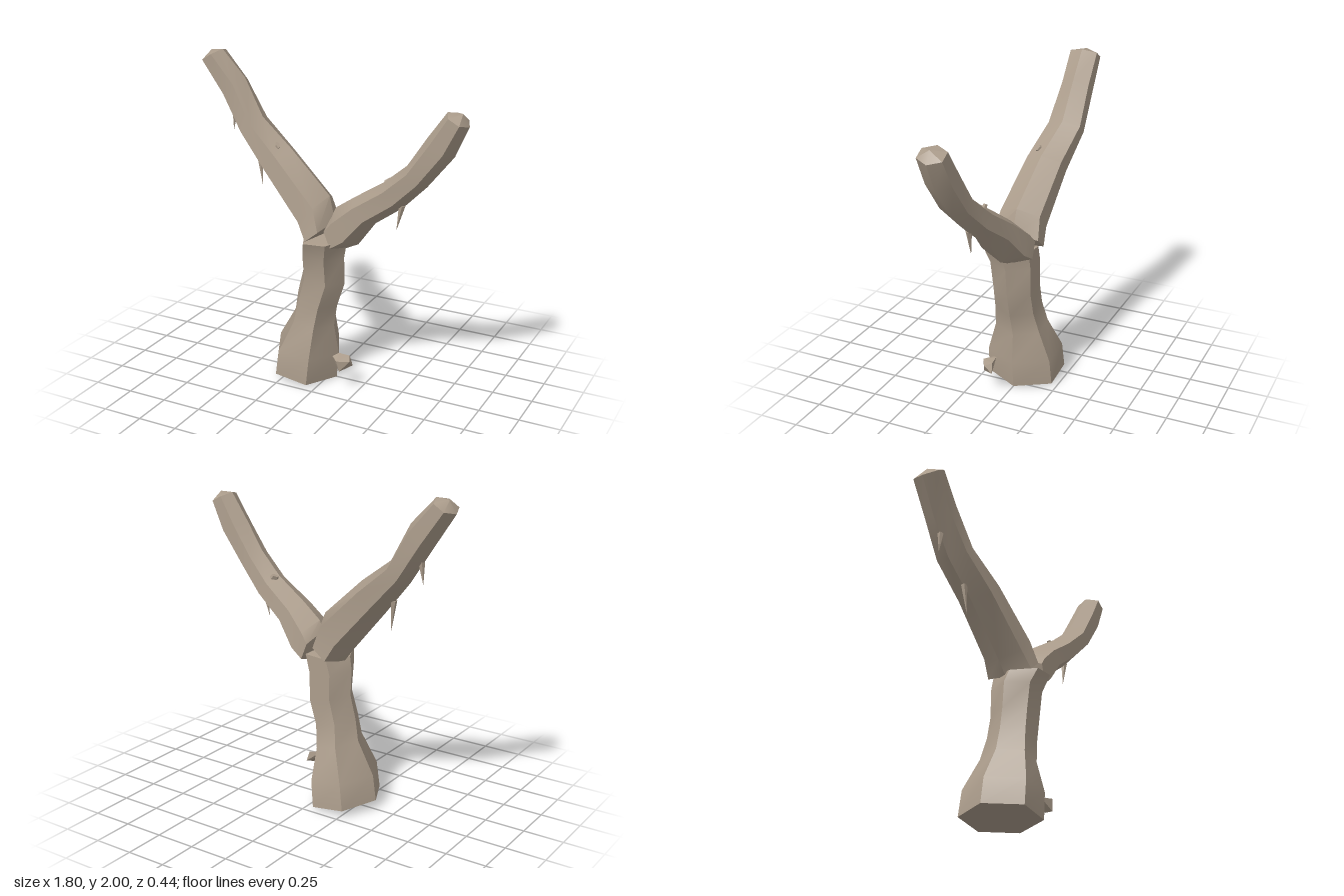
import * as THREE from 'three';
import { toCreasedNormals } from 'three/addons/utils/BufferGeometryUtils.js';
import { ConvexGeometry } from 'three/addons/geometries/ConvexGeometry.js';

const SIDES = 6;

// Hexagonal limb. Each section is [x1, y1, x2, y2, z, halfDepth]: its left and
// right corners as seen along the direction of growth, then centre and size in z.
// The two end points close the limb with shallow fans.
function limb(sections, startPoint, endPoint) {
  const pos = [];
  const index = [];
  for (const [x1, y1, x2, y2, z, depth] of sections) {
    for (let j = 0; j < SIDES; j++) {
      const a = (j / SIDES) * Math.PI * 2;
      const c = Math.cos(a) / 2;
      pos.push(
        (x1 + x2) / 2 + (x2 - x1) * c,
        (y1 + y2) / 2 + (y2 - y1) * c,
        z + (Math.sin(a) * depth) / Math.sin(Math.PI / 3)
      );
    }
  }
  const last = (sections.length - 1) * SIDES;
  const start = last + SIDES;
  const end = start + 1;
  pos.push(...startPoint, ...endPoint);
  for (let j = 0; j < SIDES; j++) {
    const k = (j + 1) % SIDES;
    for (let r = 0; r < last; r += SIDES) {
      index.push(r + j, r + SIDES + j, r + k, r + k, r + SIDES + j, r + SIDES + k);
    }
    index.push(start, j, k, end, last + k, last + j);
  }
  const geo = new THREE.BufferGeometry();
  geo.setAttribute('position', new THREE.Float32BufferAttribute(pos, 3));
  geo.setIndex(index);
  return toCreasedNormals(geo, 0.5);
}

export function createModel() {
  const group = new THREE.Group();
  const bark = new THREE.MeshStandardMaterial({ color: 0xac9d8c });
  bark.name = 'bark';

  const add = (name, geometry) => {
    const mesh = new THREE.Mesh(geometry, bark);
    mesh.name = name;
    group.add(mesh);
    return mesh;
  };

  // Trunk with a wide, slanted foot and a flared top
  add('trunk', limb([
    [-0.375, 0.06, 0.05, 0.0, 0, 0.218],
    [-0.35, 0.22, 0.065, 0.17, 0.003, 0.212],
    [-0.235, 0.42, 0.035, 0.36, 0.01, 0.15],
    [-0.21, 0.55, 0.06, 0.5, 0.02, 0.13],
    [-0.175, 0.7, 0.11, 0.66, 0.015, 0.125],
    [-0.175, 0.86, 0.11, 0.83, 0.025, 0.135],
    [-0.15, 0.94, 0.14, 0.96, 0.045, 0.155],
  ], [-0.16, 0.03, 0], [0, 0.96, 0.03]));

  // Right branch, the longer one, leaning back
  add('rightBranch', limb([
    [-0.13, 0.91, 0.04, 1.05, 0.01, 0.15],
    [-0.2, 1.0, 0.0, 1.2, 0.0, 0.13],
    [-0.45, 1.29, -0.28, 1.45, -0.035, 0.115],
    [-0.63, 1.5, -0.5, 1.61, -0.08, 0.105],
    [-0.77, 1.71, -0.63, 1.84, -0.095, 0.088],
    [-0.905, 1.92, -0.78, 2.0, -0.09, 0.088],
  ], [-0.03, 0.96, 0.01], [-0.86, 1.99, -0.09]));

  // Left branch, leaning forward
  add('leftBranch', limb([
    [0.02, 1.08, 0.1, 0.88, 0.01, 0.15],
    [0.05, 1.14, 0.2, 0.93, 0.015, 0.14],
    [0.18, 1.23, 0.32, 1.09, 0.035, 0.115],
    [0.38, 1.36, 0.5, 1.22, 0.055, 0.095],
    [0.535, 1.49, 0.66, 1.38, 0.09, 0.088],
    [0.655, 1.67, 0.82, 1.58, 0.095, 0.085],
    [0.77, 1.83, 0.9, 1.76, 0.1, 0.078],
  ], [0.05, 0.98, 0.01], [0.86, 1.83, 0.1]));

  // Thorns hanging under the branches: base point, then tip
  const thorns = [
    [[-0.7, 1.63, -0.09], [-0.715, 1.5, -0.09]],
    [[-0.505, 1.37, -0.05], [-0.485, 1.18, -0.04]],
    [[0.5, 1.24, 0.065], [0.468, 1.08, 0.07]],
  ];
  const up = new THREE.Vector3(0, 1, 0);
  for (const [from, to] of thorns) {
    const a = new THREE.Vector3(...from);
    const b = new THREE.Vector3(...to);
    const dir = b.clone().sub(a);
    const cone = new THREE.ConeGeometry(0.02, dir.length(), 5);
    const thorn = add('thorn', toCreasedNormals(cone, 0.5));
    thorn.position.copy(a).add(b).multiplyScalar(0.5);
    thorn.quaternion.setFromUnitVectors(up, dir.normalize());
  }

  // Small flat knots on the upper sides of the branches
  const knots = [
    [[-0.352, 1.465, 0.008], [0.62, 0.65, 0.42], -0.7],
    [[0.39, 1.355, 0.02], [-0.55, 0.8, -0.1], 0.6],
  ];
  for (const [at, normal, turn] of knots) {
    const disc = new THREE.CylinderGeometry(0.022, 0.03, 0.03, 5).scale(1, 1, 0.55);
    const knot = add('knot', toCreasedNormals(disc, 0.5));
    knot.position.set(...at);
    knot.quaternion.setFromUnitVectors(up, new THREE.Vector3(...normal).normalize());
    knot.rotateY(turn);
  }

  // Loose chip beside the foot of the trunk
  const chip = [
    [0.08, 0.205, 0.12], [0.11, 0.22, 0.09], [0.18, 0.215, 0.085], [0.2, 0.195, 0.13],
    [0.2, 0.15, 0.08], [0.145, 0.13, 0.16], [0.13, 0.2, 0.17],
  ];
  add('chip', new ConvexGeometry(chip.map((p) => new THREE.Vector3(...p))));

  return group;
}
